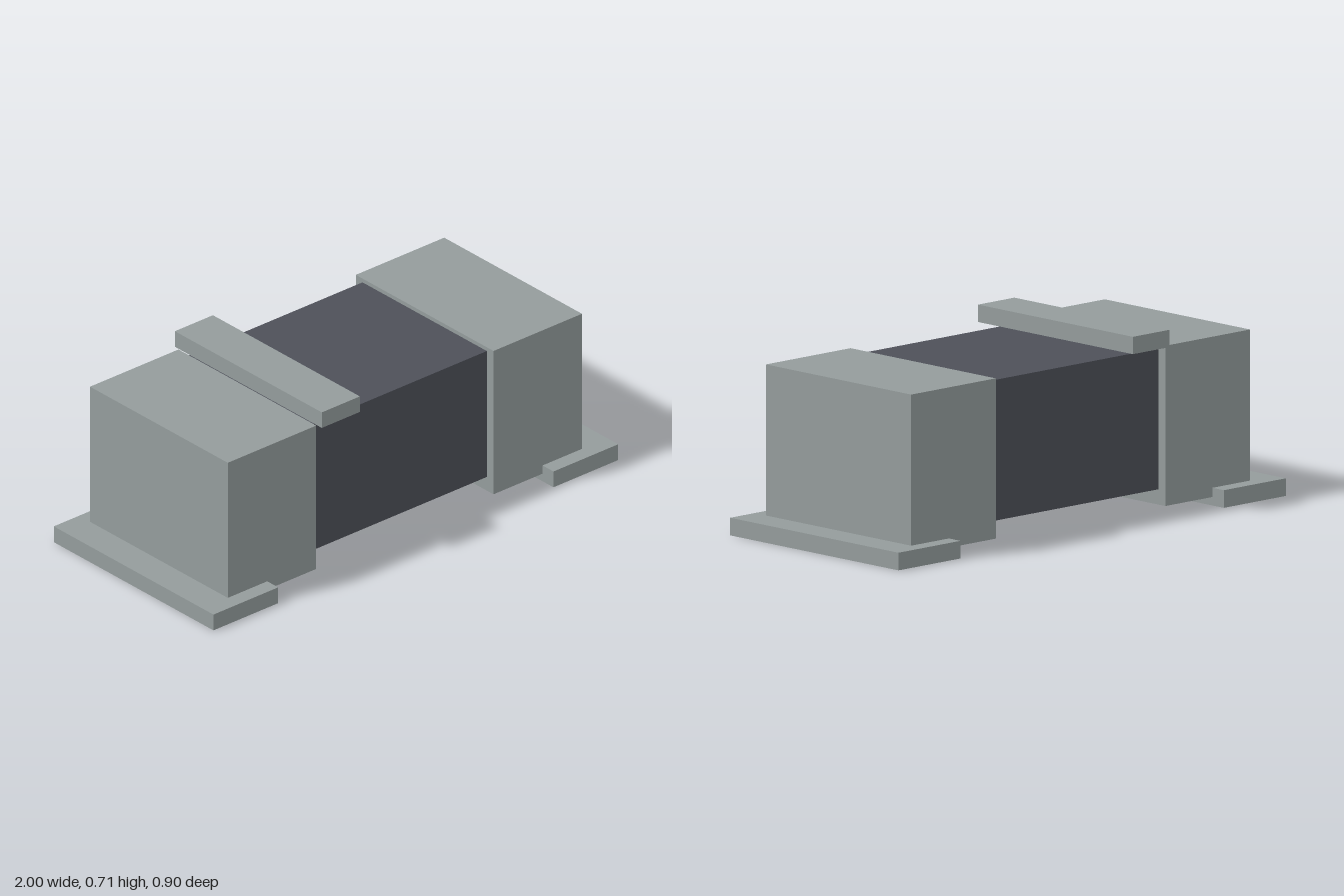
import * as THREE from 'three';

export function createModel() {
  const group = new THREE.Group();
  const metal = new THREE.MeshStandardMaterial({ color: 0x949c9c });
  metal.name = 'tinned metal';
  const dark = new THREE.MeshStandardMaterial({ color: 0x4e5059 });
  dark.name = 'dark ceramic';

  // Box given by its x and y ranges and its depth, centred on z = 0
  const addBox = (name, material, x0, x1, y0, y1, depth) => {
    const mesh = new THREE.Mesh(new THREE.BoxGeometry(x1 - x0, y1 - y0, depth), material);
    mesh.position.set((x0 + x1) / 2, (y0 + y1) / 2, 0);
    mesh.name = name;
    group.add(mesh);
  };

  // Central body
  addBox('body', dark, -0.44, 0.44, 0.09, 0.625, 0.704);

  // End caps and the solder pads under them, mirrored left and right
  for (const [side, s] of [['left', 1], ['right', -1]]) {
    const span = (a, b) => (s > 0 ? [a, b] : [-b, -a]);
    addBox(side + 'EndCap', metal, ...span(0.438, 0.875), 0.032, 0.641, 0.78);
    addBox(side + 'SolderPad', metal, ...span(0.68, 1), 0, 0.067, 0.904);
  }

  // Polarity bar above the body, near the right cap
  addBox('polarityBar', metal, -0.433, -0.245, 0.64, 0.706, 0.832);

  return group;
}
